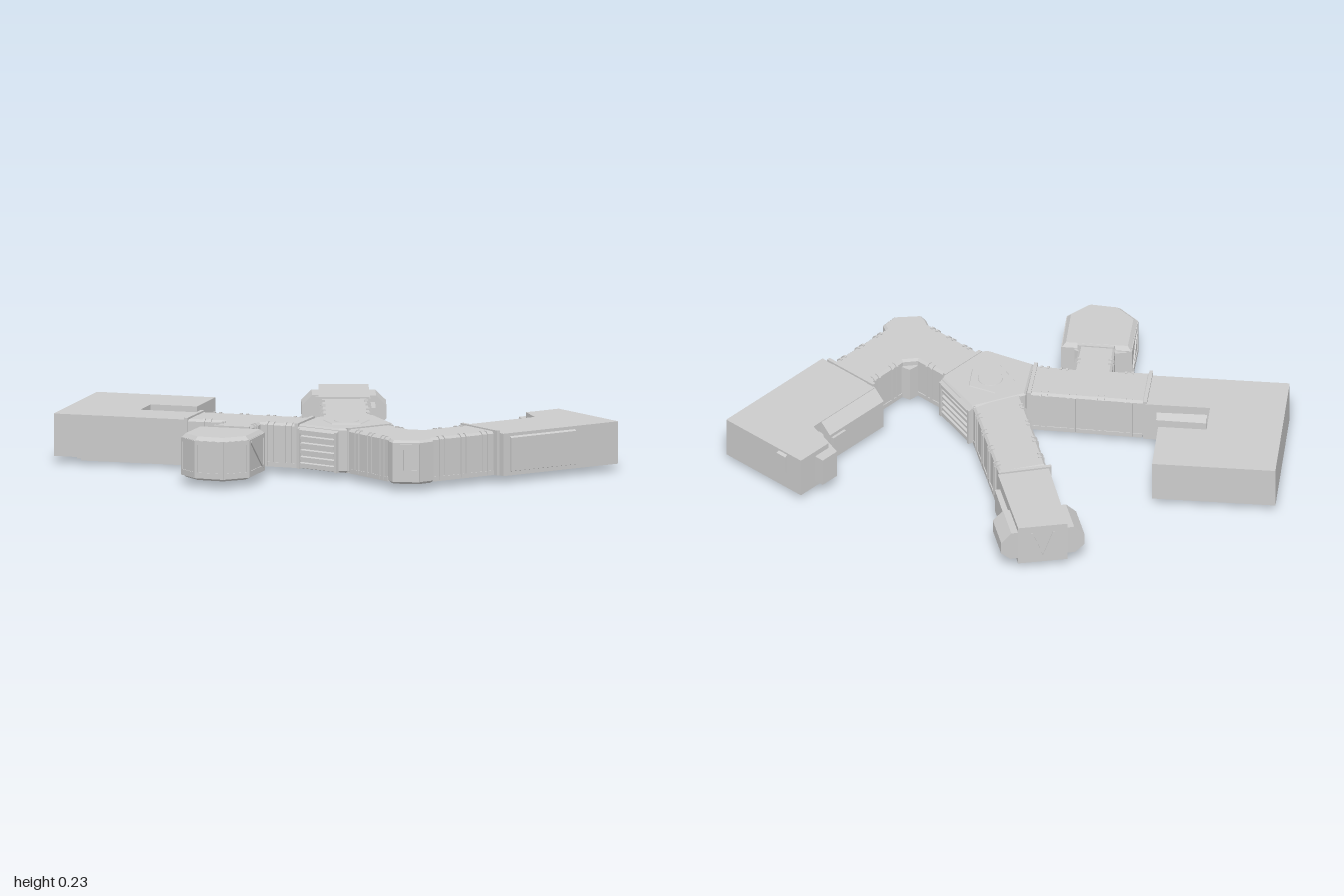
import * as THREE from 'three';

const BASE = 0.03, TOP = 0.22;

export function createModel() {
  const model = new THREE.Group();
  const mat = new THREE.MeshStandardMaterial({ color: 0xcccccc, flatShading: true });
  const add = (name, geo) => {
    const mesh = new THREE.Mesh(geo, mat);
    mesh.name = name;
    model.add(mesh);
    return mesh;
  };

  // upright block from a floor plan of [x, z] corners, with optional chamfered rims
  function prism(name, plan, y0 = BASE, y1 = TOP, bevel = 0) {
    const shape = new THREE.Shape(plan.map(([x, z]) => new THREE.Vector2(x, -z)));
    const geo = new THREE.ExtrudeGeometry(shape, {
      depth: y1 - y0 - 2 * bevel, bevelEnabled: bevel > 0, bevelSegments: 1,
      bevelSize: bevel, bevelThickness: bevel, bevelOffset: -bevel,
    });
    geo.rotateX(-Math.PI / 2).translate(0, y0 + bevel, 0);
    return add(name, geo);
  }

  // bar along a wall from a to b; profile points are [outward, height]
  function bar(name, a, b, profile) {
    const dx = b[0] - a[0], dz = b[1] - a[1];
    const shape = new THREE.Shape(profile.map(([o, y]) => new THREE.Vector2(o, y)));
    const geo = new THREE.ExtrudeGeometry(shape, { depth: Math.hypot(dx, dz), bevelEnabled: false });
    geo.rotateY(Math.atan2(dx, dz)).translate(a[0], 0, a[1]);
    return add(name, geo);
  }
  const rect = (o0, y0, o1, y1) => [[o0, y0], [o1, y0], [o1, y1], [o0, y1]];
  const lerp = (a, b, t) => [a[0] + (b[0] - a[0]) * t, a[1] + (b[1] - a[1]) * t];

  // wall cladding: skirting plus pairs of ribs that fold over the roof edge
  function ribs(name, a, b) {
    const len = Math.hypot(b[0] - a[0], b[1] - a[1]);
    const n = Math.max(1, Math.round(len / 0.11));
    const profile = [[-0.02, 0.035], [0.006, 0.035], [0.006, 0.212], [-0.006, 0.224], [-0.02, 0.224]];
    for (let i = 0; i < n; i++) {
      for (const s of [-0.014, 0.014]) {
        const c = (i + 0.5) / n + s / len, h = 0.005 / len;
        bar(name + 'Rib', lerp(a, b, c - h), lerp(a, b, c + h), profile);
      }
    }
    bar(name + 'Skirting', a, b, rect(-0.01, BASE, 0.004, 0.05));
  }

  // thin frame across a passage
  const collar = (name, a, b) => bar(name, a, b, rect(-0.008, BASE, 0.008, 0.226));

  // central hub
  prism('hub', [[0.165, 0.09], [0.27, -0.14], [0.51, -0.07], [0.53, -0.03], [0.53, 0.18], [0.5, 0.215], [0.29, 0.275]],
    BASE, 0.223, 0.008);
  const hubPlate = (r, y, name, sides, turn) => {
    const m = add(name, new THREE.CylinderGeometry(r * 0.94, r, 0.006, sides));
    m.position.set(0.35, y, 0.065);
    m.rotation.y = turn;
  };
  hubPlate(0.11, 0.223, 'roofPlate', 5, Math.PI / 2);
  hubPlate(0.056, 0.226, 'roofRing', 20, 0);
  for (const [a, b] of [[[0.27, -0.14], [0.51, -0.07]], [[0.5, 0.215], [0.29, 0.275]]]) {
    bar('hubSill', a, b, [[-0.02, 0.035], [0.012, 0.035], [0.012, 0.055], [-0.02, 0.065]]);
    bar('hubLintel', a, b, [[-0.02, 0.185], [0.014, 0.185], [0.014, 0.2], [-0.01, 0.222], [-0.02, 0.222]]);
    for (let i = 0; i < 4; i++) {
      const y = 0.07 + i * 0.03;
      bar('hubLouver', lerp(a, b, 0.08), lerp(a, b, 0.92), [[-0.01, y], [0.012, y], [0.012, y + 0.012], [-0.01, y + 0.02]]);
    }
    for (const t of [0, 0.94]) bar('hubPost', lerp(a, b, t), lerp(a, b, t + 0.06), rect(-0.02, BASE, 0.015, 0.205));
  }

  // corridors
  prism('northwestCorridor', [[-0.25, -0.225], [-0.14, -0.405], [0.27, -0.13], [0.2, 0.09], [0.16, 0.06]], BASE, TOP, 0.01);
  ribs('northwestCorridor', [-0.13, -0.4], [0.26, -0.135]);
  ribs('northwestCorridor', [0.16, 0.06], [-0.24, -0.22]);

  prism('southwestCorridor', [[-0.25, 0.4], [0.17, 0.1], [0.29, 0.27], [0.14, 0.37], [0.24, 0.51], [0.12, 0.61],
    [0.01, 0.47], [-0.12, 0.575]], BASE, TOP, 0.01);
  ribs('southwestCorridor', [-0.24, 0.393], [0.16, 0.107]);
  ribs('southwestCorridor', [0.28, 0.277], [0.14, 0.37]);
  ribs('southwestCorridor', [0.01, 0.47], [-0.11, 0.567]);
  ribs('southBranch', [0.14, 0.37], [0.21, 0.468]);
  ribs('southBranch', [0.09, 0.57], [0.01, 0.47]);

  prism('eastCorridor', [[0.51, -0.04], [0.68, -0.04], [0.72, -0.09], [0.72, -0.32], [0.935, -0.32], [0.935, 0.03],
    [0.965, 0.045], [0.97, 0.12], [0.89, 0.208], [0.855, 0.2], [0.82, 0.18], [0.51, 0.18]], BASE, TOP, 0.01);
  ribs('eastCorridor', [0.54, -0.04], [0.68, -0.04]);
  ribs('eastCorridor', [0.72, -0.09], [0.72, -0.31]);
  ribs('eastCorridor', [0.935, -0.31], [0.935, 0.03]);
  ribs('eastCorridor', [0.82, 0.18], [0.54, 0.18]);
  prism('innerCornerPost', [[0.675, -0.045], [0.68, -0.09], [0.725, -0.1], [0.73, -0.04]], BASE, 0.19);

  // bay window on the corridor's outer corner
  bar('cornerSill', [0.97, 0.12], [0.89, 0.208], rect(-0.02, 0.04, 0.006, 0.09));
  bar('cornerLintel', [0.97, 0.12], [0.89, 0.208], rect(-0.02, 0.18, 0.006, 0.205));
  for (const t of [0, 0.3, 0.6, 0.9]) {
    bar('cornerMullion', lerp([0.97, 0.12], [0.89, 0.208], t), lerp([0.97, 0.12], [0.89, 0.208], t + 0.1), rect(-0.01, 0.08, 0.006, 0.19));
  }

  // passage frames
  collar('hubWestFrame', [0.155, 0.1], [0.285, 0.285]);
  collar('hubEastFrame', [0.52, -0.045], [0.52, 0.185]);
  collar('hallFrame', [-0.255, 0.395], [-0.12, 0.58]);
  collar('northwestFrame', [-0.14, -0.41], [-0.275, -0.22]);
  collar('northeastFrame', [0.96, -0.305], [0.69, -0.305]);
  collar('podFrame', [0.245, 0.505], [0.115, 0.6]);

  // hooked hall, laid out on its own rotated axes
  const hall = (pts) => pts.map(([u, v]) => [-1 + 0.794 * u + 0.607 * v, 0.42 - 0.607 * u + 0.794 * v]);
  prism('hall', hall([[0, 0], [0.535, 0], [0.535, 0.272], [0.325, 0.272], [0.325, 0.43], [0.605, 0.43],
    [0.605, 0.642], [0, 0.642]]), BASE, 0.215);
  const sunken = (d, y0, y1) => prism('sunkenFloor', hall([[d, d], [0.535 - d, d], [0.535 - d, 0.272 - d],
    [0.325 - d, 0.272 - d], [0.325 - d, 0.43 + d], [0.6, 0.43 + d], [0.6, 0.642 - d], [d, 0.642 - d]]), y0, y1);
  sunken(0.06, 0.02, 0.031);
  sunken(0.08, 0.01, 0.021);
  sunken(0.095, 0, 0.011);
  bar('hallLedge', [-0.475, 0.55], [-0.3, 0.42], [[-0.01, 0.04], [0.018, 0.04], [0.018, 0.15], [-0.01, 0.18]]);

  // south pod with bevelled roof, panelled walls and braces
  const pod = [[0.3, 0.465], [0.435, 0.645], [0.42, 0.77], [0.31, 0.84], [0.19, 0.825], [0.06, 0.645]];
  prism('pod', pod, BASE, TOP, 0.016);
  for (let i = 0; i < 5; i++) {
    const a = pod[i], b = pod[i + 1];
    bar('podSill', a, b, rect(-0.02, 0.04, 0.004, 0.065));
    bar('podLintel', a, b, rect(-0.02, 0.185, 0.004, 0.203));
    bar('podPost', a, lerp(a, b, 0.08), rect(-0.02, 0.045, 0.004, 0.2));
    bar('podPost', lerp(a, b, 0.92), b, rect(-0.02, 0.045, 0.004, 0.2));
  }
  for (const i of [0, 4]) {
    const [a, b] = [pod[i], pod[i + 1]], c = lerp(a, b, 0.5);
    const brace = add('podBrace', new THREE.BoxGeometry(0.012, 0.01, 0.22));
    brace.position.set(c[0], 0.125, c[1]);
    brace.rotation.set(i ? 0.65 : -0.65, Math.atan2(b[0] - a[0], b[1] - a[1]), 0, 'YXZ');
  }
  prism('podStep', [[0.225, 0.495], [0.25, 0.49], [0.27, 0.52], [0.23, 0.54]], BASE, 0.2);
  prism('podStep', [[0.07, 0.63], [0.12, 0.57], [0.15, 0.6], [0.1, 0.66]], BASE, 0.2);

  // northwest end room with a side pod on each flank
  const [nw, sw] = [[-0.475, -0.645], [-0.608, -0.475]];
  prism('northwestRoom', [nw, [-0.14, -0.415], [-0.27, -0.232], sw], BASE, 0.218);
  const flank = [[-0.02, 0.06], [0.035, 0.06], [0.075, 0.095], [0.075, 0.15], [0.03, 0.195], [-0.02, 0.195]];
  bar('northSidePod', [-0.475, -0.645], [-0.335, -0.548], flank);
  bar('southSidePod', [-0.468, -0.378], [-0.605, -0.473], flank);
  bar('northSideLedge', [-0.315, -0.535], [-0.18, -0.44], rect(-0.01, 0.06, 0.025, 0.17));
  for (const s of [-1, 1]) {
    const brace = add('endBrace', new THREE.BoxGeometry(0.008, 0.13, 0.008));
    const c = lerp(sw, nw, 0.5 + s * 0.12);
    brace.position.set(c[0], 0.125, c[1]);
    brace.rotation.set(s * 0.35, Math.atan2(nw[0] - sw[0], nw[1] - sw[1]), 0, 'YXZ');
  }

  // northeast room: main block, sloped ledge, window panel and rear annex
  prism('northeastRoom', [[0.55, -0.92], [0.99, -0.92], [0.99, -0.31], [0.68, -0.31], [0.68, -0.7], [0.55, -0.745]], BASE, 0.215);
  bar('westLedge', [0.68, -0.31], [0.68, -0.65], [[-0.01, BASE], [0.05, BASE], [0.05, 0.165], [0, 0.212], [-0.01, 0.212]]);
  bar('westVent', [0.63, -0.56], [0.63, -0.64], rect(-0.01, 0.07, 0.012, 0.15));
  prism('annex', [[0.505, -0.83], [0.56, -0.83], [0.62, -0.7], [0.505, -0.74]], 0.06, 0.19);
  prism('annexButtress', [[0.57, -0.74], [0.69, -0.73], [0.69, -0.66], [0.65, -0.67]], 0.04, 0.17);
  bar('rearVent', [0.63, -0.92], [0.68, -0.92], [[-0.01, 0.1], [0.014, 0.12], [0.014, 0.2], [-0.01, 0.21]]);
  bar('eastWindow', [0.99, -0.69], [0.99, -0.345], [[-0.01, 0.045], [0.01, 0.05], [0.01, 0.195], [-0.01, 0.208]]);
  prism('drain', [[0.67, -0.79], [0.69, -0.79], [0.69, -0.77], [0.67, -0.77]], 0.015, 0.031);

  return model;
}
